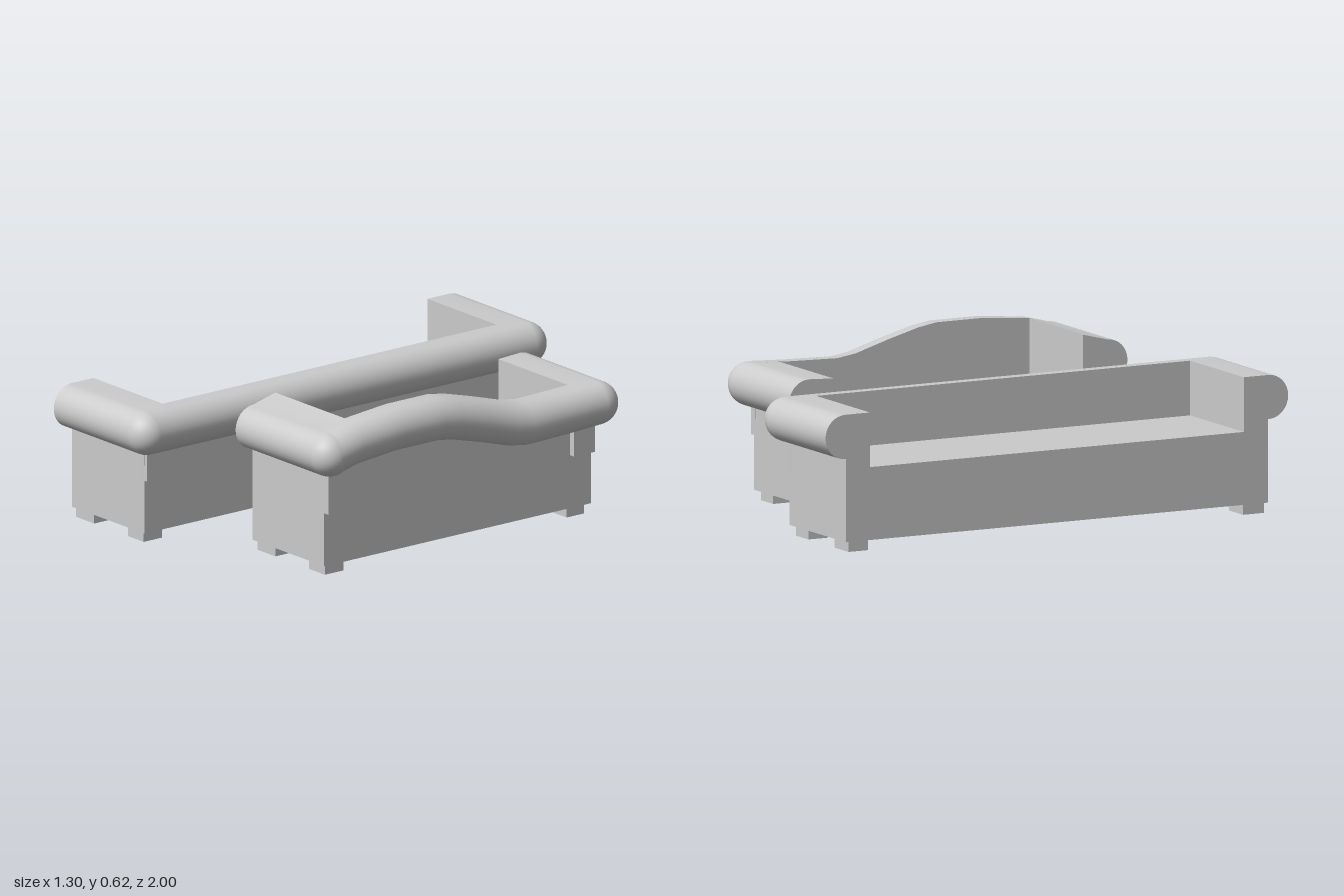
import * as THREE from 'three';
import { toCreasedNormals } from 'three/addons/utils/BufferGeometryUtils.js';

const material = new THREE.MeshStandardMaterial({ color: 0xcccccc });
const R = 0.085;        // radius of the padded roll
const FOOT = 0.04;      // underside of the base
const BASE_TOP = 0.25;
const SEAT_TOP = 0.32;

function add(group, name, geometry) {
  const mesh = new THREE.Mesh(geometry, material);
  mesh.name = name;
  group.add(mesh);
  return mesh;
}

// Box given by its limits on each axis
function box(x0, x1, y0, y1, z0, z1) {
  const g = new THREE.BoxGeometry(x1 - x0, y1 - y0, z1 - z0);
  return g.translate((x0 + x1) / 2, (y0 + y1) / 2, (z0 + z1) / 2);
}

// Outline of [z, y] points extruded along x
function extrudeX(points, x0, x1) {
  const shape = new THREE.Shape(points.map(([z, y]) => new THREE.Vector2(z, y)));
  const g = new THREE.ExtrudeGeometry(shape, { depth: x1 - x0, bevelEnabled: false });
  return toCreasedNormals(g.rotateY(-Math.PI / 2).translate(x1, 0, 0), 0.5);
}

// Half circle from top to bottom, bulging towards dir
function halfCircle(cu, cv, dir, steps = 16) {
  return Array.from({ length: steps + 1 }, (_, i) => {
    const a = (i / steps) * Math.PI;
    return [cu + dir * R * Math.sin(a), cv + R * Math.cos(a)];
  });
}

// Back roll: D-shaped section following a height line of [z, y] points
function backRoll(xIn, xc, line) {
  const pos = [], index = [];
  let n = 0;
  for (const [z, y] of line) {
    const section = [[xIn, y + R], ...halfCircle(xc, y, 1), [xIn, y - R]];
    n = section.length;
    section.forEach(([px, py]) => pos.push(px, py, z));
  }
  for (let i = 0; i < line.length - 1; i++) {
    for (let j = 0; j < n; j++) {
      const k = (j + 1) % n;
      const a = i * n + j, b = i * n + k, c = a + n, d = b + n;
      index.push(a, c, b, b, c, d);
    }
  }
  const g = new THREE.BufferGeometry();
  g.setAttribute('position', new THREE.Float32BufferAttribute(pos, 3));
  g.setIndex(index);
  return toCreasedNormals(g, 0.7);
}

function sofa(name, { x0, xIn, xBase, xc, arms, line, feetX, feetZ }) {
  const group = new THREE.Group();
  group.name = name;
  const [low, high] = arms;

  add(group, 'base', box(x0, xBase, FOOT, BASE_TOP, low.zBase, high.zBase));
  add(group, 'seat', box(x0, xIn, BASE_TOP, SEAT_TOP, low.zIn, high.zIn));

  // Back panel reaching up into the roll
  add(group, 'backPanel', extrudeX(
    [[low.zBase, BASE_TOP], [high.zBase, BASE_TOP], ...[...line].reverse()], xIn, xBase));
  add(group, 'backRoll', backRoll(xIn, xc, line));

  // Arms with rolled outer edge, and round corners joining them to the back
  for (const { zIn, zBase, zc, yc, topIn } of arms) {
    const dir = Math.sign(zc);
    add(group, 'arm', extrudeX([
      [zIn, BASE_TOP], [zIn, topIn], ...halfCircle(zc, yc, dir),
      [zBase, yc - R], [zBase, BASE_TOP],
    ], x0, xc));
    add(group, 'cornerRoll', new THREE.SphereGeometry(R, 32, 20).translate(xc, yc, zc));
  }

  for (const [fx0, fx1] of feetX) {
    for (const [fz0, fz1] of feetZ) add(group, 'foot', box(fx0, fx1, 0, FOOT, fz0, fz1));
  }
  return group;
}

export function createModel() {
  const model = new THREE.Group();
  model.name = 'sofaPair';

  // Long sofa with a level back
  model.add(sofa('longSofa', {
    x0: -0.65, xIn: -0.23, xBase: -0.21, xc: -0.195,
    arms: [-1, 1].map((s) => ({ zIn: s * 0.808, zBase: s * 0.912, zc: s * 0.915, yc: 0.445, topIn: 0.53 })),
    line: [[-0.915, 0.445], [0.915, 0.445]],
    feetX: [[-0.64, -0.53], [-0.325, -0.23]],
    feetZ: [[-0.895, -0.81], [0.81, 0.9]],
  }));

  // Short sofa with a wavy back
  model.add(sofa('waveBackSofa', {
    x0: 0.105, xIn: 0.525, xBase: 0.54, xc: 0.565,
    arms: [
      { zIn: -0.55, zBase: -0.652, zc: -0.655, yc: 0.445, topIn: 0.525 },
      { zIn: 0.53, zBase: 0.64, zc: 0.637, yc: 0.49, topIn: 0.602 },
    ],
    line: [[-0.655, 0.445], [-0.5, 0.438], [-0.3, 0.433], [-0.22, 0.445], [-0.08, 0.487],
      [0.05, 0.522], [0.13, 0.535], [0.33, 0.535], [0.53, 0.517], [0.637, 0.49]],
    feetX: [[0.115, 0.225], [0.43, 0.525]],
    feetZ: [[-0.63, -0.545], [0.535, 0.625]],
  }));

  return model;
}
